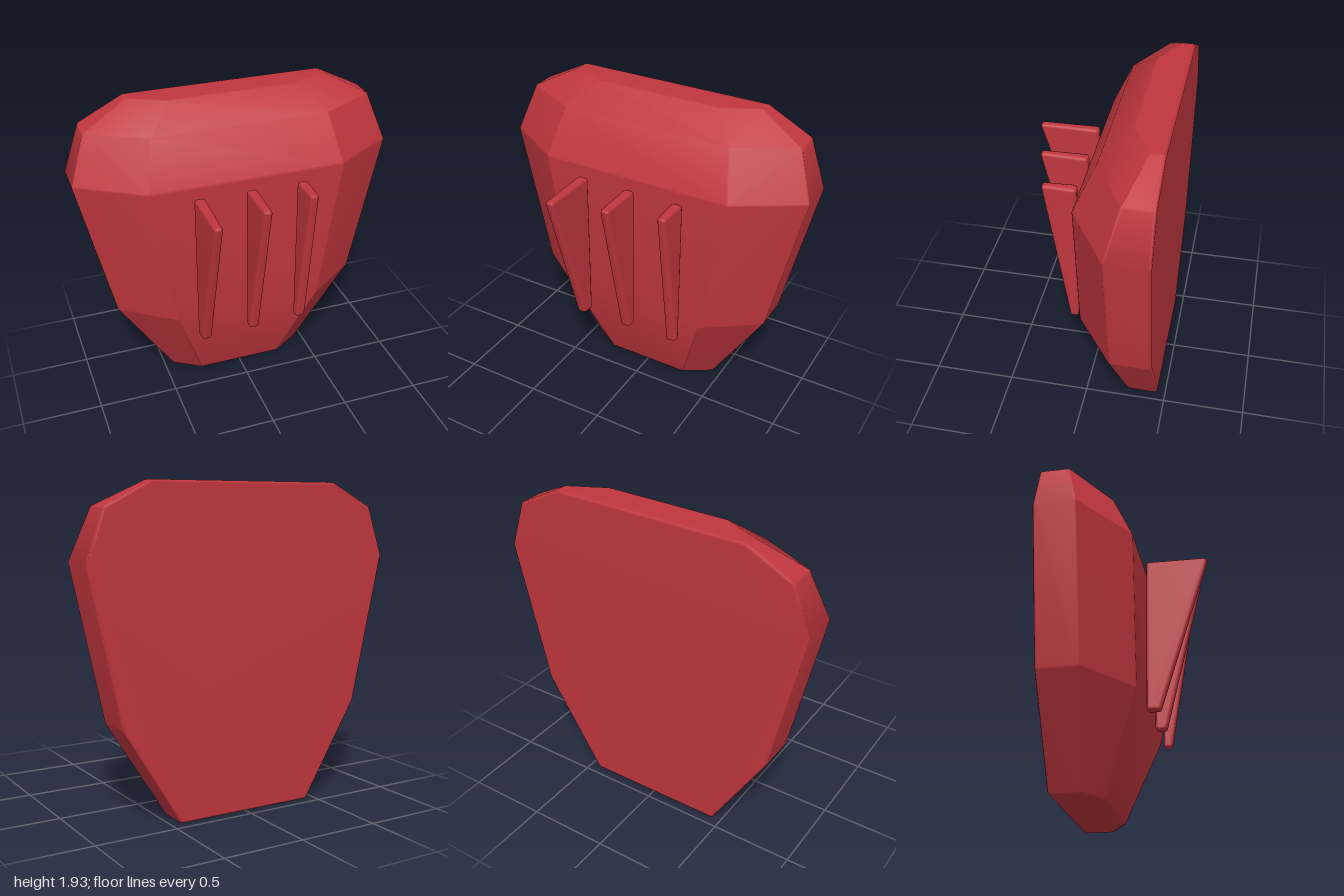
import * as THREE from 'three';
import { ConvexGeometry } from 'three/addons/geometries/ConvexGeometry.js';
import { mergeVertices } from 'three/addons/utils/BufferGeometryUtils.js';

// Unit directions used to round every corner of a solid
const directions = [];
for (let i = -1; i <= 1; i++)
  for (let j = -1; j <= 1; j++)
    for (let k = -1; k <= 1; k++)
      if (i || j || k) directions.push(new THREE.Vector3(i, j, k).normalize());

// Convex solid with soft bevelled edges of radius r around the given corners
function roundedHull(corners, r) {
  const points = [];
  for (const c of corners)
    for (const d of directions) points.push(c.clone().addScaledVector(d, r));
  const hull = new ConvexGeometry(points);
  hull.deleteAttribute('normal');
  const geometry = mergeVertices(hull, 1e-5);
  geometry.computeVertexNormals(); // area weighted, keeps the large faces flat
  return geometry;
}

export function createModel() {
  const group = new THREE.Group();
  const red = new THREE.MeshStandardMaterial({ color: 0xc0363e });
  red.name = 'red';

  const add = (name, geometry) => {
    const mesh = new THREE.Mesh(geometry, red);
    mesh.name = name;
    group.add(mesh);
    return mesh;
  };

  // Faceted shell: y, outer half width, outer z, front half width, front z
  const r = 0.018;
  const back = -0.45;
  const rows = [
    [r, 0.45, -0.26, 0.27, -0.15],
    [0.59, 0.80, -0.2, 0.46, 0.045],
    [1.495, 1.0, -0.2, 0.6, 0.045],
    [1.78, 0.9, -0.27, 0.54, -0.08],
    [1.935 - r, 0.63, -0.36, 0.39, -0.24],
  ];
  const corners = [];
  for (const [y, w, zSide, f, zFront] of rows)
    for (const s of [-1, 1])
      corners.push(
        new THREE.Vector3(s * (w - r), y, back + r),
        new THREE.Vector3(s * (w - r), y, zSide - r / 2),
        new THREE.Vector3(s * f, y, zFront - r),
      );
  add('shell', roundedHull(corners, r));

  // Three upright tapered fins: name, x, depth at the top, depth at the bottom
  const fr = 0.018;
  const fins = [
    ['rightFin', -0.32, 0.45, 0.165],
    ['middleFin', 0, 0.37, 0.15],
    ['leftFin', 0.32, 0.285, 0.135],
  ];
  for (const [name, x, zTop, zBottom] of fins) {
    const finCorners = [];
    for (const s of [-1, 1])
      finCorners.push(
        new THREE.Vector3(s * (0.034 - fr), 0.488 + fr, 0.08 + fr),
        new THREE.Vector3(s * (0.034 - fr), 1.455 - fr, 0.08 + fr),
        new THREE.Vector3(s * (0.032 - fr), 0.488 + fr, zBottom - fr),
        new THREE.Vector3(s * (0.027 - fr), 1.455 - fr, zTop - fr),
      );
    add(name, roundedHull(finCorners, fr)).position.x = x;
  }
  return group;
}
